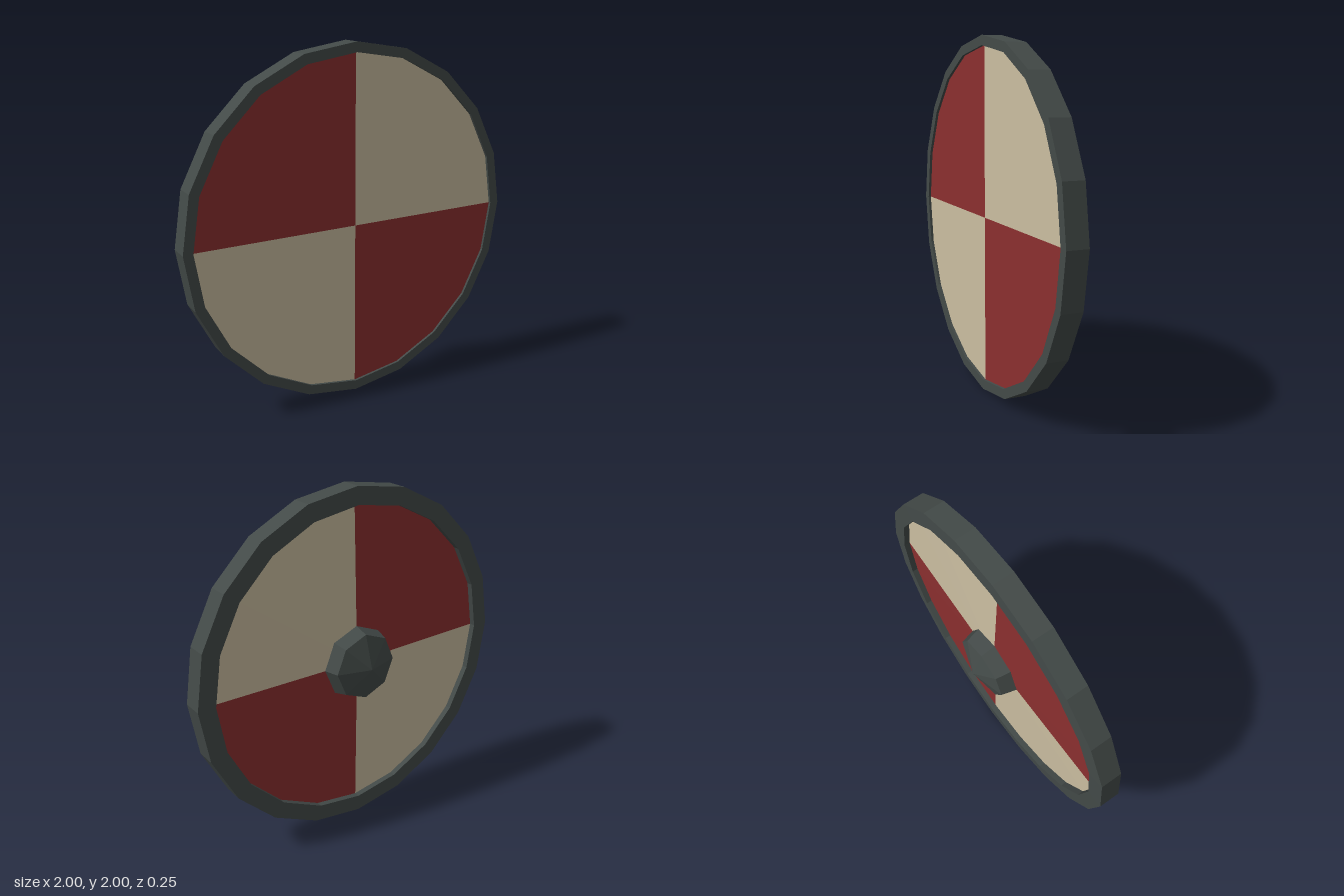
import * as THREE from 'three';

const flat = (name, color) => {
  const m = new THREE.MeshStandardMaterial({ color, flatShading: true });
  m.name = name;
  return m;
};

// Turns an [radius, z] profile (listed back to front) around the z axis.
function turned(name, profile, sides, material, start = 0, sweep = Math.PI * 2) {
  const points = profile.map(([r, z]) => new THREE.Vector2(r, z));
  const geometry = new THREE.LatheGeometry(points, sides, start, sweep);
  geometry.rotateX(Math.PI / 2);
  const mesh = new THREE.Mesh(geometry, material);
  mesh.name = name;
  mesh.position.y = 1;
  return mesh;
}

export function createModel() {
  const iron = flat('dark iron', 0x434a48);
  const red = flat('red paint', 0x8b2f2f);
  const cream = flat('cream paint', 0xcbbea1);

  const shield = new THREE.Group();
  shield.name = 'roundShield';

  // Iron rim, wider on the boss side
  shield.add(turned('rim', [
    [0.9, 0.035], [0.9, 0], [1, 0.004], [1, 0.125], [0.945, 0.125], [0.945, 0.11],
  ], 20, iron));

  // Four painted quarters, recessed in the rim and slightly domed at the back
  const board = [[0, 0.015], [0.9, 0.035], [0.945, 0.11], [0, 0.11]];
  for (let i = 0; i < 4; i++) {
    shield.add(turned(`quarter${i + 1}`, board, 5, i % 2 ? cream : red,
      i * Math.PI / 2, Math.PI / 2));
  }

  // Eight-sided boss in the centre
  shield.add(turned('boss', [[0, -0.125], [0.193, -0.067], [0.216, 0.02]], 8, iron));

  return shield;
}
